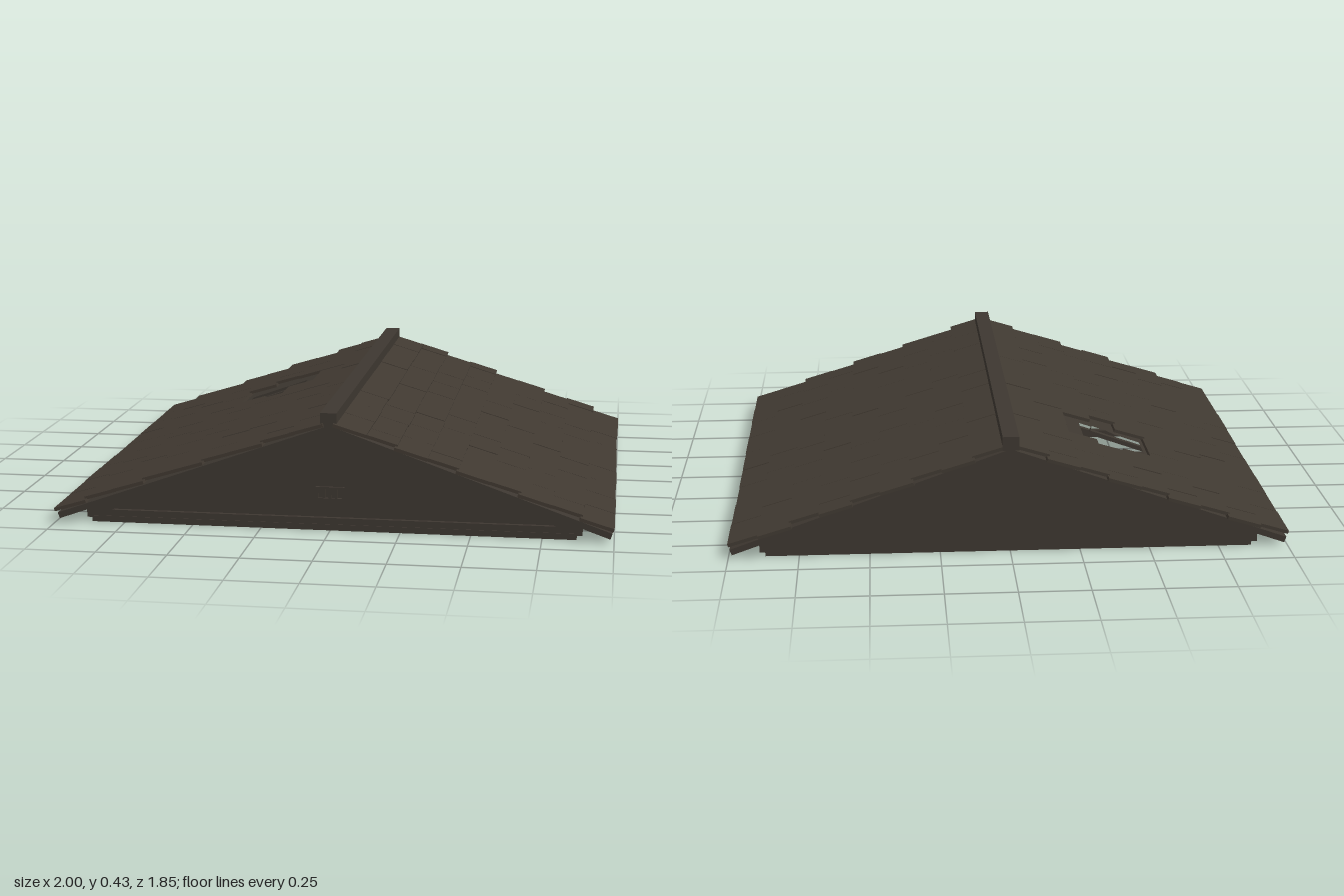
import * as THREE from 'three';

const RISE = 0.385, ANGLE = 0.341, COS = Math.cos(ANGLE), LENGTH = 1.055;
const COURSES = 9, PITCH = 0.1145;

export function createModel() {
  const model = new THREE.Group();
  model.name = 'gableRoof';
  const mat = (name, color) => {
    const m = new THREE.MeshStandardMaterial({ color });
    m.name = name;
    return m;
  };
  const shingleMat = mat('shingle brown', 0x403931);
  const timberMat = mat('timber brown', 0x3d3730);

  const add = (parent, name, geometry, material, x = 0, y = 0, z = 0) => {
    const mesh = new THREE.Mesh(geometry, material);
    mesh.name = name;
    mesh.position.set(x, y, z);
    parent.add(mesh);
    return mesh;
  };
  const box = (parent, name, material, w, h, d, x, y, z) =>
    add(parent, name, new THREE.BoxGeometry(w, h, d), material, x, y, z);
  const shape = pts => new THREE.Shape(pts.map(p => new THREE.Vector2(...p)));
  const extrude = (s, depth) => new THREE.ExtrudeGeometry(s, { depth, bevelEnabled: false });

  // seeded jitter for the shingles
  let seed = 7;
  const jitter = amount => {
    seed = (seed * 16807) % 2147483647;
    return (seed / 2147483647 - 0.5) * amount;
  };

  // one row of shingles between two z positions
  function shingleRun(parent, side, course, z0, z1, offset) {
    const cuts = [z0];
    for (let z = z0 + offset; z < z1 - 0.08; z += 0.2) cuts.push(z + jitter(0.02));
    cuts.push(z1);
    for (let i = 0; i < cuts.length - 1; i++) {
      const start = 0.022 + course * PITCH;
      const length = PITCH + 0.008 + jitter(0.004);
      const tile = box(parent, 'shingle', shingleMat, length, 0.012, cuts[i + 1] - cuts[i] - 0.002,
        side * (start + length / 2 - 0.008), 0.016 + jitter(0.003), (cuts[i] + cuts[i + 1]) / 2);
      tile.rotation.z = side * 0.05;
    }
  }

  // the two roof slopes
  for (const side of [1, -1]) {
    const slope = new THREE.Group();
    slope.name = side > 0 ? 'leftSlope' : 'rightSlope';
    slope.position.y = RISE;
    slope.rotation.z = -side * ANGLE;
    model.add(slope);

    // deck board, broken through on one side
    const deck = shape([[0, -0.89], [side * LENGTH, -0.89], [side * LENGTH, 0.88], [0, 0.88]]);
    if (side < 0) {
      const hole = [[-0.545, -0.455], [-0.31, -0.455], [-0.31, -0.245], [-0.36, -0.245],
        [-0.36, -0.23], [-0.41, -0.23], [-0.45, -0.25], [-0.545, -0.25]];
      deck.holes.push(new THREE.Path(hole.map(([x, z]) => new THREE.Vector2(x / COS, -z))));
    }
    const deckGeometry = extrude(deck, 0.022);
    deckGeometry.rotateX(-Math.PI / 2);
    add(slope, 'roofDeck', deckGeometry, timberMat, 0, -0.022, 0);

    // shingle courses, alternately shifted to the front and the back
    for (let c = 0; c < COURSES; c++) {
      const forward = c % 2 === 0;
      const z0 = (forward ? -0.885 : -0.922) + jitter(0.006);
      const z1 = (forward ? 0.92 : 0.893) + jitter(0.006);
      const offset = forward ? 0.2 : 0.1;
      if (side < 0 && c >= 2 && c <= 4) {
        const gap = c === 3 ? [-0.52, -0.165] : [-0.48, -0.245];
        shingleRun(slope, side, c, z0, gap[0], offset);
        shingleRun(slope, side, c, gap[1], z1, offset);
      } else {
        shingleRun(slope, side, c, z0, z1, offset);
      }
    }
  }

  // ridge cap
  box(model, 'ridgeCap', timberMat, 0.058, 0.05, 1.795, 0, 0.408, 0.008);

  // tie beams across the underside, with slim rafters above
  for (const z of [0.745, 0.43, 0.11, -0.21, -0.525, -0.73]) {
    box(model, 'tieBeam', timberMat, 1.74, 0.028, 0.03, 0, 0.014, z);
    for (const side of [1, -1]) {
      const rafter = box(model, 'rafter', timberMat, 0.95, 0.016, 0.024, side * 0.452, 0.193, z);
      rafter.rotation.z = -side * ANGLE;
    }
  }

  // gable walls
  const outline = [[-0.89, 0.015], [0.89, 0.015], [0.89, 0.046], [0, 0.364], [-0.89, 0.046]];
  add(model, 'backGable', extrude(shape(outline), 0.03), timberMat, 0, 0, -0.87);
  add(model, 'frontGable', extrude(shape(outline), 0.025), timberMat, 0, 0, 0.83);
  const frame = shape(outline);
  frame.holes.push(shape([[-0.8, 0.045], [0, 0.335], [0.8, 0.045]]));
  add(model, 'frontGableTrim', extrude(frame, 0.015), timberMat, 0, 0, 0.855);
  for (const z of [0.855, -0.85])
    box(model, 'gableSill', timberMat, 1.74, 0.022, 0.035, 0, 0.011, z);

  // gable vent with upright bars
  const vent = shape([[-0.053, 0.108], [0.05, 0.108], [0.05, 0.156], [-0.053, 0.156]]);
  vent.holes.push(shape([[-0.045, 0.115], [-0.045, 0.149], [0.042, 0.149], [0.042, 0.115]]));
  add(model, 'ventFrame', extrude(vent, 0.009), timberMat, 0, 0, 0.855);
  for (const x of [-0.024, -0.0015, 0.021])
    box(model, 'ventBar', timberMat, 0.01, 0.036, 0.008, x, 0.132, 0.859);

  return model;
}
